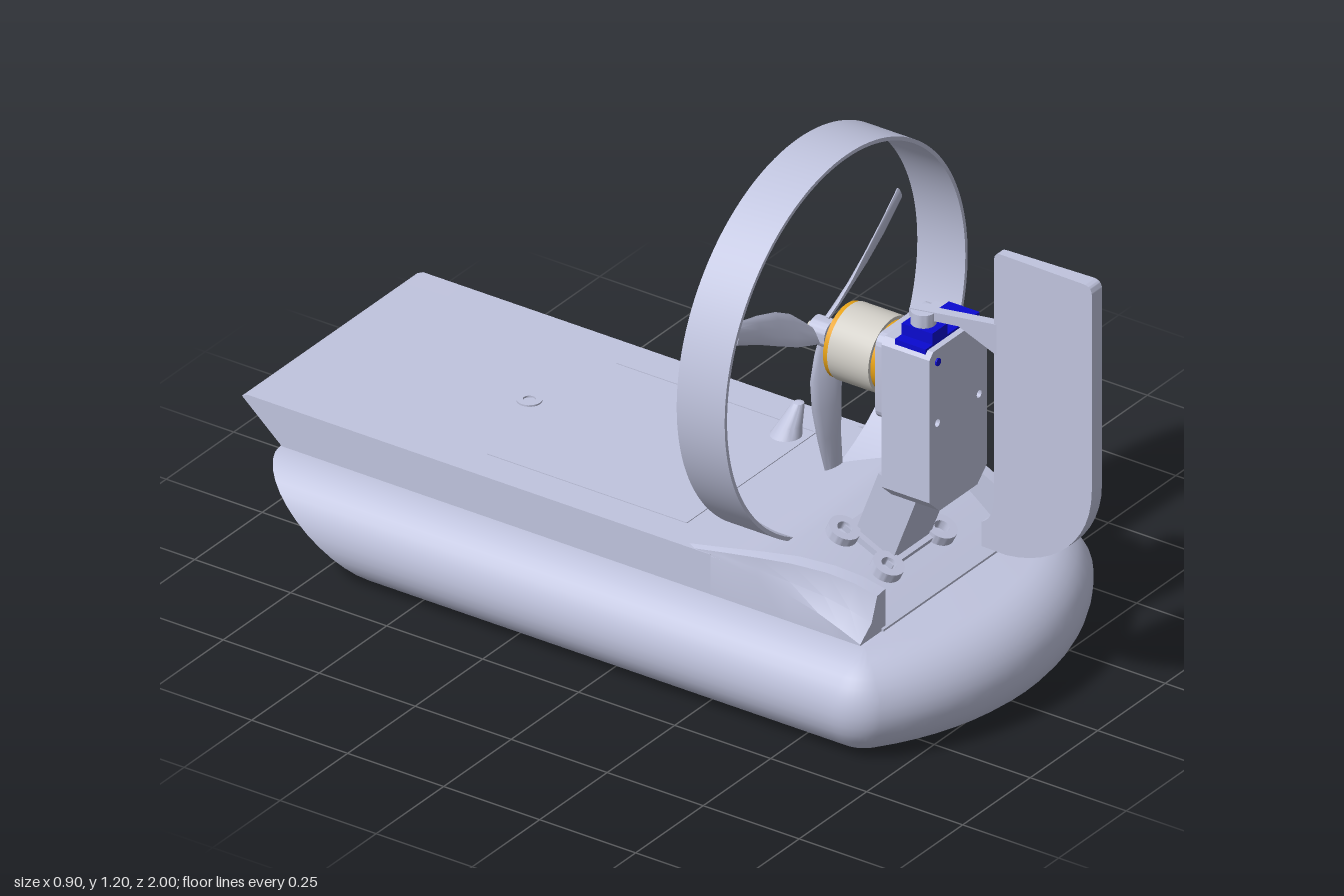
import * as THREE from 'three';
import { toCreasedNormals } from 'three/addons/utils/BufferGeometryUtils.js';

const material = (name, color) => {
  const m = new THREE.MeshStandardMaterial({ color });
  m.name = name;
  return m;
};

export function createModel() {
  const model = new THREE.Group();
  model.name = 'hovercraft';
  const shell = material('lavender grey', 0xc0c4de);
  const blue = material('servo blue', 0x0a0ad0);
  const gold = material('motor gold', 0xe8a317);
  const steel = material('motor steel', 0xd0cdc6);

  const add = (name, geometry, mat = shell, parent = model) => {
    const mesh = new THREE.Mesh(toCreasedNormals(geometry, 0.6), mat);
    mesh.name = name;
    parent.add(mesh);
    return mesh;
  };
  const box = (x0, x1, y0, y1, z0, z1) =>
    new THREE.BoxGeometry(x1 - x0, y1 - y0, z1 - z0).translate((x0 + x1) / 2, (y0 + y1) / 2, (z0 + z1) / 2);
  // cylinder along z
  const barrel = (r, z0, z1, x = 0, y = 0.75, sides = 40) =>
    new THREE.CylinderGeometry(r, r, z1 - z0, sides).rotateX(Math.PI / 2).translate(x, y, (z0 + z1) / 2);
  // shape in the xy plane pushed from z0 to z1
  const extrude = (shape, z0, z1, curveSegments = 12) =>
    new THREE.ExtrudeGeometry(shape, { depth: z1 - z0, bevelEnabled: false, curveSegments }).translate(0, 0, z0);
  // side profile in (z, y) with a width across x
  const sideExtrude = (shape, width) => extrude(shape, -width / 2, width / 2).rotateY(-Math.PI / 2);
  const polygon = pts => new THREE.Shape(pts.map(p => new THREE.Vector2(...p)));
  const annulus = (R, r) => {
    const s = new THREE.Shape().absarc(0, 0, R, 0, Math.PI * 2);
    s.holes.push(new THREE.Path().absarc(0, 0, r, 0, Math.PI * 2, true));
    return s;
  };
  // skin over a row of equal cross-sections, capped at both ends
  const loft = rings => {
    const n = rings[0].length, last = rings.length - 1, pos = rings.flat(2), index = [];
    const at = (i, j) => i * n + (j % n);
    for (let i = 0; i < last; i++)
      for (let j = 0; j < n; j++)
        index.push(at(i, j), at(i, j + 1), at(i + 1, j + 1), at(i, j), at(i + 1, j + 1), at(i + 1, j));
    [0, last].forEach((i, end) => {
      const c = [0, 1, 2].map(k => rings[i].reduce((s, p) => s + p[k], 0) / n);
      pos.push(...c);
      const ci = (last + 1) * n + end;
      for (let j = 0; j < n; j++)
        end ? index.push(ci, at(i, j), at(i, j + 1)) : index.push(ci, at(i, j + 1), at(i, j));
    });
    const g = new THREE.BufferGeometry();
    g.setAttribute('position', new THREE.Float32BufferAttribute(pos, 3));
    g.setIndex(index);
    return g;
  };

  // Skirt: half-round edge, bowed stern, raked bow
  const R = 0.535, arcZ = 0.195, half = 0.325, alpha = Math.atan2(half, 0.425), cornerZ = 0.62;
  const skirt = [];
  for (let i = 0; i <= 16; i++) {
    const t = -Math.PI / 2 + (Math.PI * i) / 16, d = 0.115 * Math.cos(t), y = 0.12 + 0.115 * Math.sin(t);
    const bow = -0.6 - 0.3 * (y - 0.005) / 0.23, ring = [[-half - d, y, bow]];
    const arc = (cx, cz, r, a0, a1, n) => {
      for (let k = 0; k <= n; k++) {
        const a = a0 + ((a1 - a0) * k) / n;
        ring.push([cx + r * Math.sin(a), y, cz + r * Math.cos(a)]);
      }
    };
    arc(-half, cornerZ, d, -Math.PI / 2, -alpha - 0.01, 7);
    arc(0, arcZ, R + d, -alpha, alpha, 16);
    arc(half, cornerZ, d, alpha + 0.01, Math.PI / 2, 7);
    ring.push([half + d, y, bow]);
    skirt.push(ring);
  }
  add('skirt', loft(skirt));

  // Hull deck and the sloping motor floor
  add('hull', sideExtrude(polygon([[-0.885, 0.225], [0.22, 0.225], [0.22, 0.332], [-0.985, 0.332], [-1, 0.325]]), 0.65));
  const floor = sideExtrude(polygon([[0.2, 0.22], [0.615, 0.22], [0.615, 0.24], [0.36, 0.355], [0.3, 0.355], [0.2, 0.332]]), 2);
  const fp = floor.attributes.position;
  for (let i = 0; i < fp.count; i++) fp.setX(i, fp.getX(i) * (0.32 - 0.18 * (fp.getZ(i) - 0.2)));
  add('motorFloor', floor);

  // Curved fairings either side of the floor: z, inner x, crest y, outer y
  const stations = [[0.15, 0.31, 0.331, 0.33], [0.25, 0.306, 0.35, 0.328], [0.34, 0.298, 0.366, 0.317],
    [0.42, 0.28, 0.372, 0.3], [0.5, 0.26, 0.366, 0.28], [0.56, 0.244, 0.352, 0.258], [0.61, 0.232, 0.332, 0.238]];
  for (const side of [1, -1]) {
    const rings = stations.map(([z, xi, yt, yo]) => {
      const xc = Math.min(xi + 0.03, 0.322);
      const ring = [[0.325, 0.22], [0.325, yo], [(xc * 2 + 0.325) / 3, yo + (yt - yo) * 0.35], [xc, yt - 0.004], [xi, yt], [xi, 0.22]]
        .map(([x, y]) => [x * side, y, z]);
      return side > 0 ? ring : ring.reverse();
    });
    add(side > 0 ? 'leftFairing' : 'rightFairing', loft(rings));
  }

  // Deck details: hatch seam, drain ring and knob
  add('hatchSeamStern', box(-0.24, 0.24, 0.33, 0.334, 0.095, 0.101));
  for (const s of [-1, 1]) add('hatchSeamSide', box(s * 0.24 - 0.003, s * 0.24 + 0.003, 0.33, 0.334, -0.42, 0.1));
  add('drainRing', extrude(annulus(0.028, 0.014), 0, 0.005).rotateX(-Math.PI / 2).translate(0, 0.331, -0.48));
  const knob = new THREE.LatheGeometry([[0.036, 0], [0.027, 0.025], [0.017, 0.06], [0.012, 0.073], [0, 0.077]]
    .map(p => new THREE.Vector2(...p)), 20);
  const kp = knob.attributes.position;
  for (let i = 0; i < kp.count; i++) kp.setXYZ(i, kp.getX(i) + kp.getY(i) * 0.35, kp.getY(i), kp.getZ(i) + kp.getY(i) * 0.22);
  add('deckKnob', knob.translate(0.195, 0.33, 0.05));

  // Duct ring
  add('ductRing', extrude(annulus(0.45, 0.441), 0.22, 0.345, 64).translate(0, 0.75, 0));

  // Pylon: feet, leg and body
  const tilt = Math.atan2(0.115, 0.25);
  for (const x of [-0.098, 0.098])
    for (const [y, z] of [[0.333, 0.4], [0.283, 0.515]]) {
      const foot = add('mountFoot', extrude(annulus(0.036, 0.017), 0, 0.025, 20).rotateX(-Math.PI / 2));
      foot.rotation.x = tilt;
      foot.position.set(x, y, z);
    }
  const base = add('legBase', new THREE.BoxGeometry(0.17, 0.02, 0.14));
  base.position.set(0, 0.315, 0.46);
  base.rotation.x = tilt;
  const leg = add('pylonLeg', new THREE.BoxGeometry(0.14, 0.2, 0.105));
  leg.position.set(0, 0.385, 0.492);
  leg.rotation.x = 0.36;
  const body = polygon([[-0.07, 0.457], [0.07, 0.457], [0.107, 0.492], [0.107, 0.84], [0.093, 0.855], [-0.093, 0.855], [-0.107, 0.84], [-0.107, 0.492]]);
  for (const x of [-0.077, 0.077]) body.holes.push(new THREE.Path().absarc(x, 0.675, 0.009, 0, Math.PI * 2, true));
  add('pylonBody', extrude(body, 0.512, 0.637));

  // Motor mount
  const plate = new THREE.Shape();
  for (const [i, [x, y]] of [[0.075, 0.075], [-0.075, 0.075], [-0.075, -0.075], [0.075, -0.075]].entries()) {
    plate.absarc(x, y, 0.028, (i * Math.PI) / 2, ((i + 1) * Math.PI) / 2);
    plate.holes.push(new THREE.Path().absarc(x, y, 0.012, 0, Math.PI * 2, true));
  }
  add('motorPlate', extrude(plate, 0.493, 0.514).translate(0, 0.75, 0));
  add('motorBase', barrel(0.06, 0.485, 0.5));

  // Motor
  add('motorBackBell', barrel(0.08, 0.462, 0.488), gold);
  add('motorCan', barrel(0.088, 0.357, 0.464), steel);
  add('motorFrontBell', barrel(0.086, 0.345, 0.358), gold);
  add('motorShaft', barrel(0.014, 0.25, 0.35, 0, 0.75, 16), steel);

  // Propeller: radius, half chord, pitch per section
  const propeller = new THREE.Group();
  propeller.name = 'propeller';
  propeller.position.set(0, 0.75, 0.285);
  model.add(propeller);
  add('hub', extrude(annulus(0.032, 0.013), -0.02, 0.025, 20), shell, propeller);
  const sections = [[0.022, 0.018, 0.7], [0.06, 0.027, 0.65], [0.12, 0.037, 0.55], [0.19, 0.037, 0.42], [0.27, 0.031, 0.32], [0.35, 0.025, 0.25]];
  const blade = loft(sections.map(([r, c, pitch]) => Array.from({ length: 12 }, (_, k) => {
    const a = (k * Math.PI) / 6, u = c * Math.cos(a), v = 0.006 * Math.sin(a);
    const sweep = 0.5 * (r - 0.18) ** 2;
    return [r, sweep + u * Math.cos(pitch) - v * Math.sin(pitch), u * Math.sin(pitch) + v * Math.cos(pitch)];
  })));
  for (const deg of [34, 154, 274]) add('blade', blade, shell, propeller).rotation.z = THREE.MathUtils.degToRad(deg);

  // Steering servo
  add('servoEars', box(-0.1, 0.1, 0.835, 0.86, 0.542, 0.622), blue);
  add('servoBody', box(-0.075, -0.018, 0.85, 0.887, 0.542, 0.622), blue);
  for (const x of [-0.078, 0.078]) add('servoScrew', barrel(0.009, 0.63, 0.641, x, 0.825, 12), blue);
  add('servoHorn', new THREE.CylinderGeometry(0.028, 0.028, 0.032, 24).translate(-0.045, 0.902, 0.578));

  // Rudder with its steering arm
  const arm = sideExtrude(polygon([[0.55, 0.92], [0.55, 0.9], [0.66, 0.898], [0.745, 0.845], [0.745, 0.92]]), 0.024);
  const ap = arm.attributes.position;
  for (let i = 0; i < ap.count; i++) ap.setX(i, ap.getX(i) - 0.24 * (0.745 - ap.getZ(i)));
  add('steeringArm', arm);
  const outline = new THREE.Shape();
  outline.moveTo(0.705, 0.365);
  outline.lineTo(0.77, 0.365);
  outline.bezierCurveTo(0.9, 0.38, 0.998, 0.47, 0.998, 0.6);
  outline.lineTo(0.998, 1.075);
  outline.quadraticCurveTo(0.998, 1.097, 0.975, 1.097);
  outline.lineTo(0.755, 1.095);
  outline.quadraticCurveTo(0.738, 1.095, 0.738, 1.075);
  outline.lineTo(0.738, 0.5);
  outline.quadraticCurveTo(0.738, 0.44, 0.705, 0.425);
  const rudder = sideExtrude(outline, 2);
  const rp = rudder.attributes.position;
  for (let i = 0; i < rp.count; i++) rp.setX(i, rp.getX(i) * (0.01 + 0.03 * (rp.getZ(i) - 0.7)));
  add('rudder', rudder);
  return model;
}
